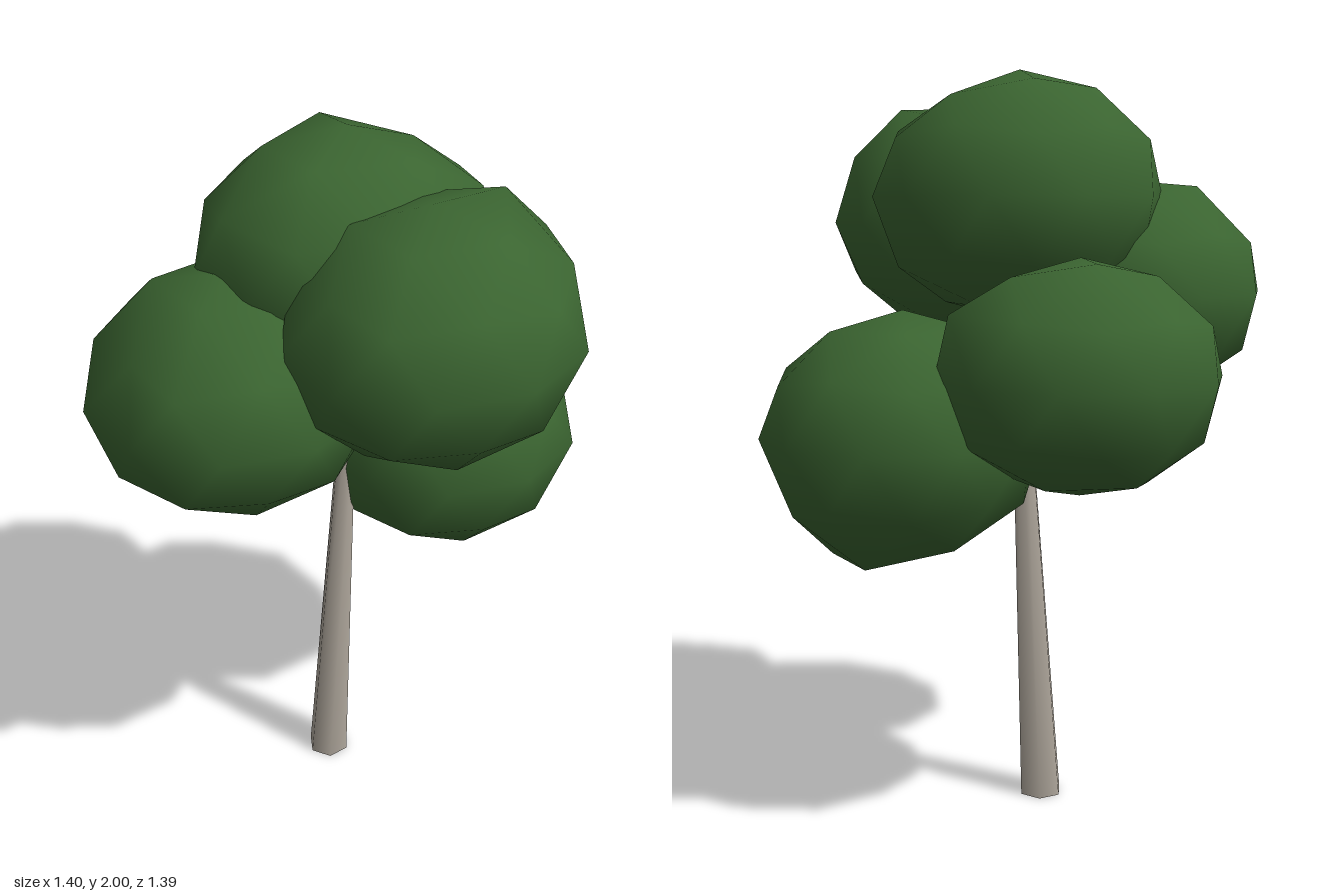
import * as THREE from 'three';
import { mergeVertices } from 'three/addons/utils/BufferGeometryUtils.js';

const leafGreen = new THREE.MeshStandardMaterial({ color: 0x3b6531 });
const barkGrey = new THREE.MeshStandardMaterial({ color: 0xaea69b });
leafGreen.name = 'leafGreen';
barkGrey.name = 'barkGrey';

// Faceted ball with a vertex on top; each dent moves the nearest vertex to a local point
function clumpGeometry(size, dents) {
  let geo = new THREE.IcosahedronGeometry(1, 1);
  geo.deleteAttribute('uv');
  geo.deleteAttribute('normal');
  geo = mergeVertices(geo, 1e-3);
  geo.rotateZ(-Math.atan(2 / (1 + Math.sqrt(5))));
  geo.scale(...size);
  const pos = geo.attributes.position;
  const v = new THREE.Vector3();
  for (const dent of dents) {
    const target = new THREE.Vector3(...dent);
    let best = 0, bestDistance = Infinity;
    for (let i = 0; i < pos.count; i++) {
      const d = v.fromBufferAttribute(pos, i).distanceTo(target);
      if (d < bestDistance) { bestDistance = d; best = i; }
    }
    pos.setXYZ(best, ...dent);
  }
  geo.computeVertexNormals();
  return geo;
}

export function createModel() {
  const tree = new THREE.Group();
  tree.name = 'tree';

  // Leaf clumps climbing round the trunk
  const clumps = [
    { name: 'leftClump', at: [0.34, 1.05, 0], size: [0.38, 0.33, 0.36],
      dents: [[0.16, -0.33, 0.13], [0.16, -0.32, -0.12], [-0.21, -0.23, 0], [0.31, -0.19, 0]] },
    { name: 'backClump', at: [0, 1.22, -0.34], size: [0.37, 0.3, 0.36],
      dents: [[0.05, 0.29, -0.17], [0.1, 0.14, -0.3], [0.36, 0.17, 0], [-0.2, -0.285, 0], [-0.1, -0.16, -0.27]] },
    { name: 'rightClump', at: [-0.35, 1.41, 0], size: [0.37, 0.305, 0.36],
      dents: [[-0.14, 0.29, 0.11], [-0.14, 0.29, -0.11], [-0.27, 0.15, 0], [0.15, -0.3, 0.11]] },
    { name: 'frontClump', at: [0, 1.6, 0.34], size: [0.38, 0.32, 0.355],
      dents: [[0.2, 0.31, 0], [0.34, 0.18, 0], [-0.39, 0, 0.12], [-0.3, 0.16, 0]] },
    { name: 'topClump', at: [0, 1.67, 0], size: [0.395, 0.33, 0.37],
      dents: [[0.2, 0.26, 0], [-0.36, 0.18, 0], [-0.18, 0.29, 0.11], [0.06, 0.29, -0.2], [0.35, -0.18, 0]] },
  ];
  for (const { name, at, size, dents } of clumps) {
    const clump = new THREE.Mesh(clumpGeometry(size, dents), leafGreen);
    clump.name = name;
    clump.position.set(...at);
    tree.add(clump);
  }

  // Six-sided tapering trunk, sheared so that it leans inward with a level foot
  const height = 1.3;
  const trunkGeo = new THREE.CylinderGeometry(0.021, 0.061, height, 6);
  trunkGeo.rotateY(Math.PI / 2);
  trunkGeo.translate(0, height / 2, 0);
  const pos = trunkGeo.attributes.position;
  for (let i = 0; i < pos.count; i++) {
    const t = pos.getY(i) / height;
    pos.setX(i, pos.getX(i) - 0.05 + 0.053 * t);
    pos.setZ(i, pos.getZ(i) - 0.032 + 0.037 * t);
  }
  const trunk = new THREE.Mesh(trunkGeo, barkGrey);
  trunk.name = 'trunk';
  tree.add(trunk);

  return tree;
}
